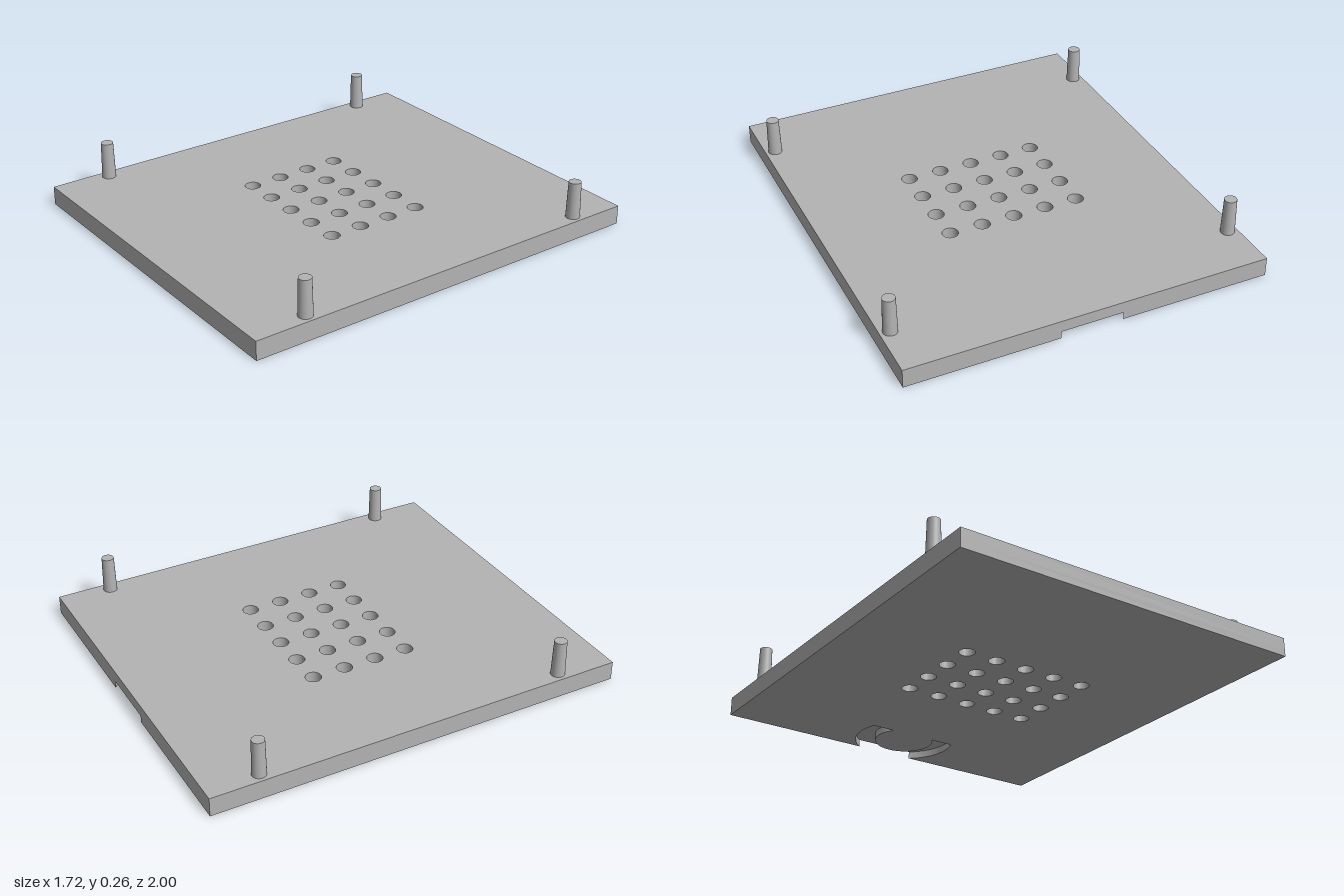
import * as THREE from 'three';

const WIDTH = 1.72, DEPTH = 2, THICK = 0.09, RECESS = 0.035;
const HX = WIDTH / 2, HZ = DEPTH / 2;

// Vent grid: 5 columns by 4 rows of round through-holes
function addVents(shape) {
  for (let col = -2; col <= 2; col++) {
    for (let row = 0; row < 4; row++) {
      const hole = new THREE.Path();
      hole.absarc(col * 0.158, 0.24 - row * 0.158, 0.037, 0, Math.PI * 2, true);
      shape.holes.push(hole);
    }
  }
  return shape;
}

// Lay a plan shape (x, -z) flat and raise it from y0 to y1
function slab(shape, y0, y1) {
  const g = new THREE.ExtrudeGeometry(shape, { depth: y1 - y0, bevelEnabled: false, curveSegments: 24 });
  return g.rotateX(-Math.PI / 2).translate(0, y0, 0);
}

export function createModel() {
  const model = new THREE.Group();
  model.name = 'ventedCover';
  const grey = new THREE.MeshStandardMaterial({ color: 0xb3b3b3 });
  grey.name = 'grey plastic';
  const add = (name, geometry) => {
    const mesh = new THREE.Mesh(geometry, grey);
    mesh.name = name;
    model.add(mesh);
    return mesh;
  };

  // Upper layer of the plate: plain rectangle with vents
  const top = new THREE.Shape();
  top.moveTo(-HX, -HZ).lineTo(HX, -HZ).lineTo(HX, HZ).lineTo(-HX, HZ).closePath();
  add('plateTop', slab(addVents(top), RECESS, THICK));

  // Lower layer: a C-shaped channel on the underside breaks out through the back edge
  const cy = 0.81, outer = 0.24, inner = 0.143, endY = 0.72;
  const aEdge = Math.asin((HZ - cy) / outer);
  const aOut = Math.asin((endY - cy) / outer);
  const aIn = Math.asin((endY - cy) / inner);
  const base = new THREE.Shape();
  base.moveTo(-HX, -HZ).lineTo(HX, -HZ).lineTo(HX, HZ);
  base.absarc(0, cy, outer, aEdge, aOut, true);
  base.absarc(0, cy, inner, aIn, Math.PI - aIn, false);
  base.absarc(0, cy, outer, Math.PI - aOut, Math.PI - aEdge, true);
  base.lineTo(-HX, HZ).closePath();
  add('plateBase', slab(addVents(base), 0, RECESS));

  // Four slightly tapered locating pegs
  const pegHeight = 0.175;
  const pegGeometry = new THREE.CylinderGeometry(0.029, 0.033, pegHeight, 32);
  for (const x of [-0.812, 0.812]) {
    for (const z of [-0.755, 0.73]) {
      add('peg', pegGeometry).position.set(x, THICK + pegHeight / 2, z);
    }
  }
  return model;
}
